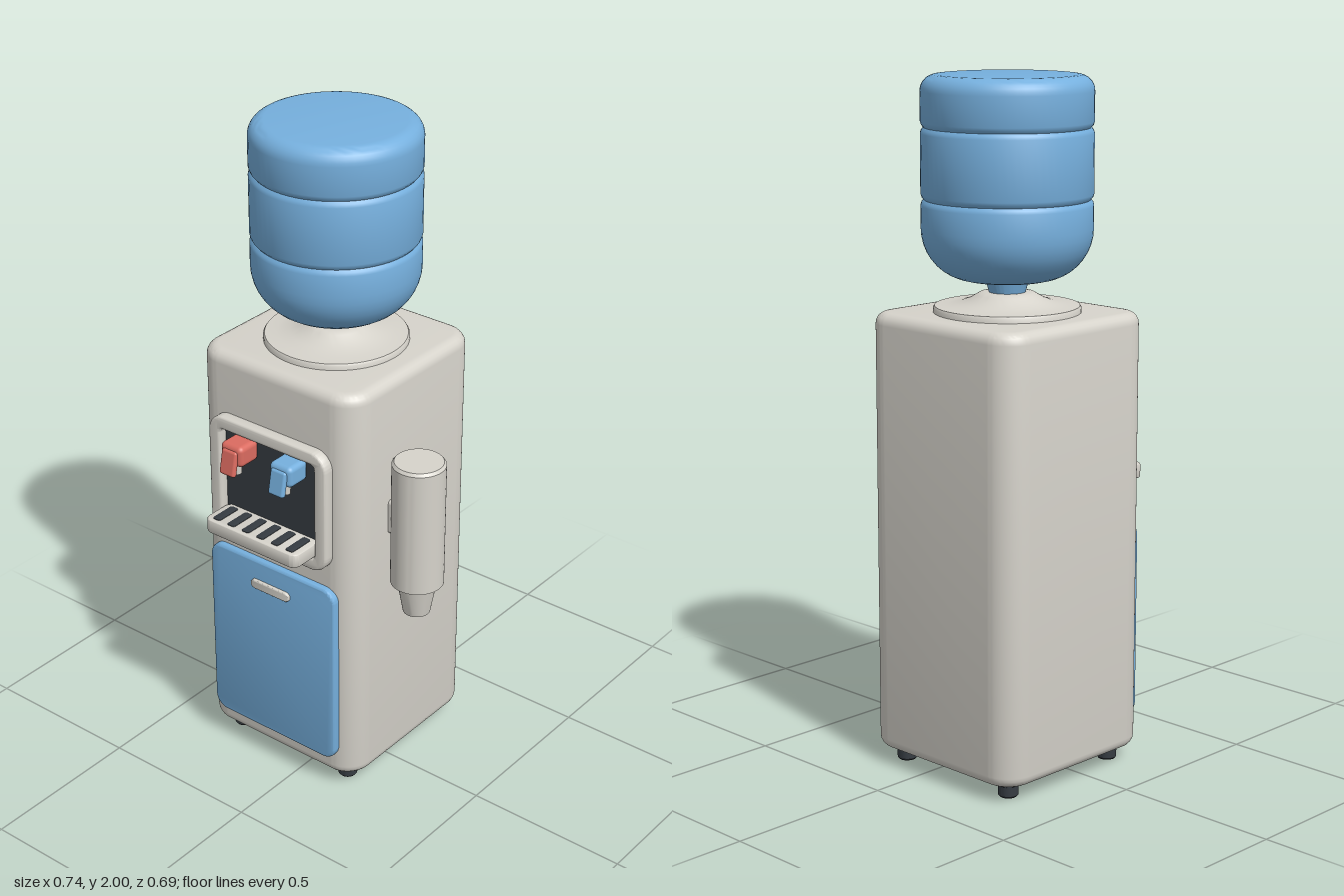
import * as THREE from 'three';
import { toCreasedNormals } from 'three/addons/utils/BufferGeometryUtils.js';
import { RoundedBoxGeometry } from 'three/addons/geometries/RoundedBoxGeometry.js';

const material = (name, color) => {
  const m = new THREE.MeshStandardMaterial({ color });
  m.name = name;
  return m;
};

// Rounded rectangle outline centred on the origin
function roundRect(Type, w, h, r) {
  const p = new Type(), x = w / 2, y = h / 2;
  p.moveTo(-x + r, -y);
  p.lineTo(x - r, -y);
  p.absarc(x - r, -y + r, r, -Math.PI / 2, 0, false);
  p.lineTo(x, y - r);
  p.absarc(x - r, y - r, r, 0, Math.PI / 2, false);
  p.lineTo(-x + r, y);
  p.absarc(-x + r, y - r, r, Math.PI / 2, Math.PI, false);
  p.lineTo(-x, -y + r);
  p.absarc(-x + r, -y + r, r, Math.PI, Math.PI * 1.5, false);
  return p;
}

// Rounded slab of full size w x h x depth, soft edges of size b, centred; optional hole [w, h, r, y]
function slab(w, h, depth, r, b, hole) {
  const shape = roundRect(THREE.Shape, w - 2 * b, h - 2 * b, r - b);
  if (hole) {
    const path = roundRect(THREE.Path, hole[0] + 2 * b, hole[1] + 2 * b, hole[2] + b);
    shape.holes.push(new THREE.Path(path.getPoints(8).map(p => p.add(new THREE.Vector2(0, hole[3])))));
  }
  const g = new THREE.ExtrudeGeometry(shape, {
    depth: depth - 2 * b, bevelThickness: b, bevelSize: b, bevelSegments: 5, curveSegments: 8
  });
  g.translate(0, 0, b - depth / 2);
  return toCreasedNormals(g, 0.6);
}

// Smooth turned part with sharp edges kept, from [radius, y] pairs listed bottom to top
function turned(points, segments = 48) {
  const g = new THREE.LatheGeometry(points.map(([r, y]) => new THREE.Vector2(r, y)), segments);
  return toCreasedNormals(g, 0.6);
}

export function createModel() {
  const shell = material('warm grey plastic', 0xd6d3cb);
  const blue = material('blue plastic', 0x76b0de);
  const red = material('red plastic', 0xdb6b60);
  const dark = material('charcoal plastic', 0x363c42);

  const model = new THREE.Group();
  model.name = 'waterDispenser';
  const add = (name, geometry, mat, x, y, z, parent = model) => {
    const mesh = new THREE.Mesh(geometry, mat);
    mesh.name = name;
    mesh.position.set(x, y, z);
    parent.add(mesh);
    return mesh;
  };
  const cx = -0.081, cz = -0.057;

  // Cabinet and feet
  const cabinet = slab(0.576, 0.576, 1.292, 0.085, 0.033);
  cabinet.rotateX(-Math.PI / 2);
  add('cabinet', cabinet, shell, cx, 0.691, cz);
  const foot = turned([[0, 0], [0.025, 0], [0.029, 0.005], [0.029, 0.034], [0.032, 0.036], [0.032, 0.06], [0, 0.06]], 20);
  for (const sx of [-1, 1]) for (const sz of [-1, 1])
    add('foot', foot, dark, cx + sx * 0.208, 0, cz + sz * 0.208);

  // Collar under the bottle
  add('collar', turned([
    [0, 1.325], [0.21, 1.325], [0.21, 1.349], [0.206, 1.355], [0.17, 1.357], [0.135, 1.363],
    [0.108, 1.373], [0.088, 1.385], [0.078, 1.391], [0.065, 1.393], [0, 1.393]
  ], 64), shell, cx, 0, cz);

  // Upturned bottle: neck, rounded shoulder, two grooves, soft top rim
  const R = 0.243;
  const profile = [[0, 1.385], [0.05, 1.385], [0.061, 1.426], [0.09, 1.428]];
  for (let i = 0; i <= 10; i++) {
    const a = (i / 10) * Math.PI / 2;
    profile.push([0.1 + (R - 0.1) * Math.sin(a), 1.575 - 0.147 * Math.cos(a)]);
  }
  for (const y of [1.655, 1.855])
    profile.push([R, y - 0.016], [R - 0.003, y - 0.007], [R - 0.009, y], [R - 0.003, y + 0.007], [R, y + 0.016]);
  for (let i = 0; i <= 7; i++) {
    const a = (i / 7) * Math.PI / 2;
    profile.push([R - 0.045 + 0.045 * Math.cos(a), 1.955 + 0.045 * Math.sin(a)]);
  }
  profile.push([0, 2]);
  add('bottle', turned(profile, 64), blue, cx, 0, cz);

  // Lower door with its handle
  add('door', slab(0.47, 0.6, 0.03, 0.045, 0.01), blue, cx, 0.41, 0.236);
  add('doorHandle', slab(0.145, 0.03, 0.022, 0.0149, 0.005), shell, cx, 0.63, 0.25);

  // Dispensing bay: frame, dark back panel
  add('bayFrame', slab(0.432, 0.386, 0.042, 0.055, 0.01, [0.346, 0.304, 0.012, 0]), shell, cx, 0.962, 0.243);
  add('bayPanel', new THREE.BoxGeometry(0.37, 0.33, 0.008), dark, cx, 0.962, 0.232);

  // Drip tray with dark slots
  const tray = slab(0.342, 0.115, 0.044, 0.025, 0.006);
  tray.rotateX(-Math.PI / 2);
  add('dripTray', tray, shell, cx, 0.834, 0.287);
  const slot = slab(0.028, 0.085, 0.006, 0.008, 0.001);
  slot.rotateX(-Math.PI / 2);
  for (let i = 0; i < 6; i++)
    add('traySlot', slot, dark, cx + (i - 2.5) * 0.0545, 0.855, 0.288);

  // Taps
  const tapBody = new RoundedBoxGeometry(0.08, 0.066, 0.08, 4, 0.016);
  const lever = new RoundedBoxGeometry(0.055, 0.078, 0.018, 4, 0.008);
  const nozzle = turned([[0, -0.025], [0.013, -0.025], [0.016, 0.025], [0, 0.025]], 20);
  for (const [name, x, mat] of [['hotTap', -0.171, red], ['coldTap', 0.01, blue]]) {
    const tap = new THREE.Group();
    tap.name = name;
    tap.position.set(x, 1.077, 0.272);
    model.add(tap);
    add('tapBody', tapBody, mat, 0, 0, 0, tap);
    add('tapLever', lever, mat, 0, -0.02, 0.045, tap).rotation.x = -0.2;
    add('tapNozzle', nozzle, shell, 0, -0.043, 0.012, tap);
  }

  // Cup holder on the side
  const holder = new THREE.Group();
  holder.name = 'cupHolder';
  holder.position.set(0.288, 0, 0.033);
  model.add(holder);
  add('cupTube', turned([
    [0, 0.692], [0.06, 0.692], [0.078, 0.702], [0.078, 1.09], [0.071, 1.099], [0, 1.099]
  ]), shell, 0, 0, 0, holder);
  add('cup', turned([[0, 0.6], [0.04, 0.6], [0.058, 0.7], [0, 0.7]], 32), shell, 0, 0, 0, holder);
  add('bracket', new RoundedBoxGeometry(0.05, 0.11, 0.07, 3, 0.012), shell, -0.07, 0.9, 0, holder);

  return model;
}
